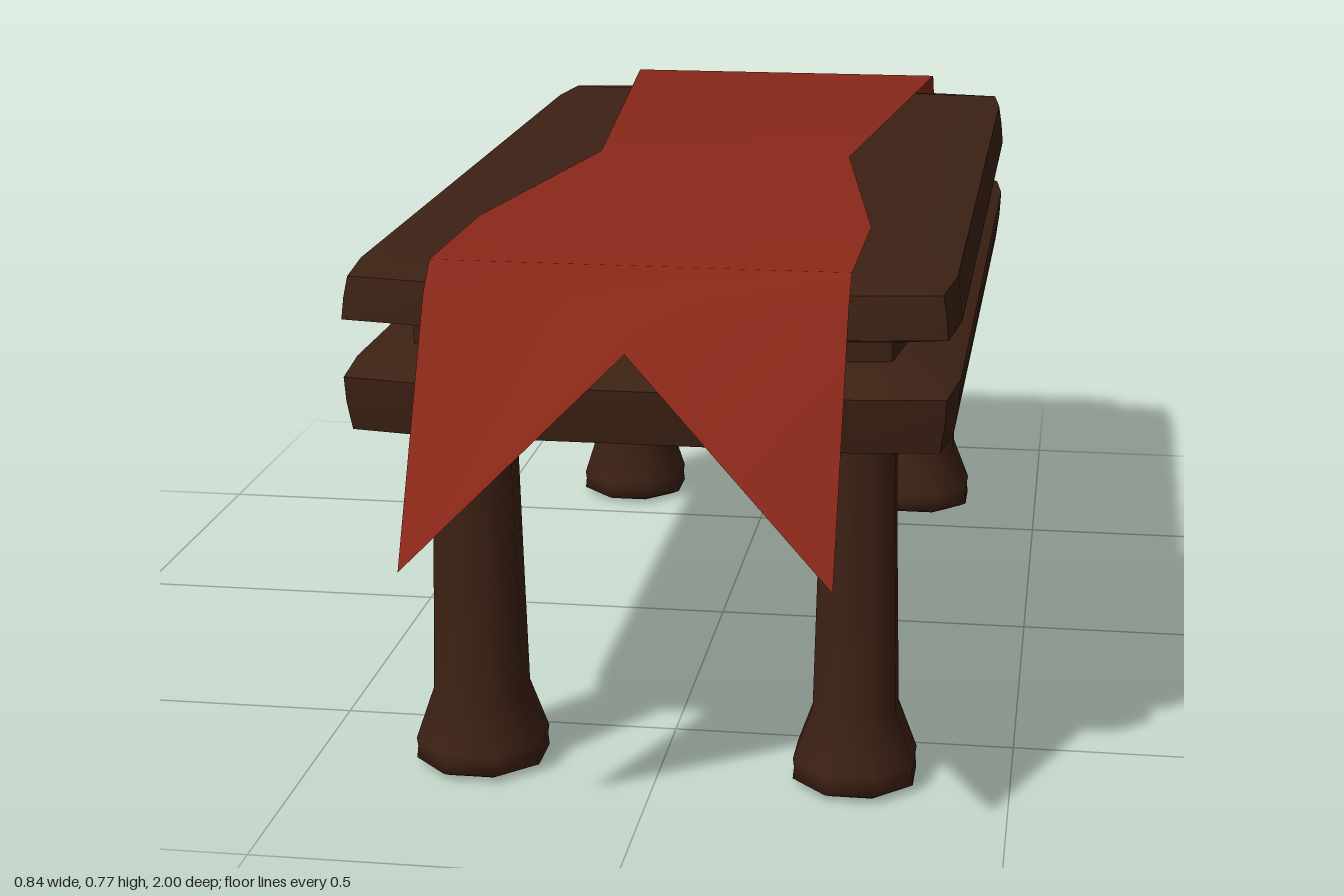
import * as THREE from 'three';
import { toCreasedNormals } from 'three/addons/utils/BufferGeometryUtils.js';

const wood = new THREE.MeshStandardMaterial({ color: 0x3d2114 });
const cloth = new THREE.MeshStandardMaterial({ color: 0x8a2819, side: THREE.DoubleSide });

// Builds an indexed surface from equal-length rows of points
function loft(rows, closed) {
  const n = rows[0].length, index = [];
  for (let r = 0; r < rows.length - 1; r++) {
    for (let i = 0; i < (closed ? n : n - 1); i++) {
      const a = r * n + i, b = r * n + (i + 1) % n;
      index.push(a, b, b + n, a, b + n, a + n);
    }
  }
  if (closed) {
    const last = (rows.length - 1) * n;
    for (let i = 1; i < n - 1; i++) index.push(0, i + 1, i, last, last + i, last + i + 1);
  }
  const geo = new THREE.BufferGeometry();
  geo.setAttribute('position', new THREE.Float32BufferAttribute(rows.flat(2), 3));
  geo.setIndex(index);
  geo.computeVertexNormals();
  return geo;
}

// Rounded-corner plank outline, inset by d, at height y; it sags toward the back +x corner
function ring(y, d) {
  const hx = 0.418 - d, hz = 0.828 - d;
  const quarter = [[hx, hz - 0.13], [hx - 0.012, hz - 0.018], [hx - 0.12, hz]];
  const flip = (sx, sz) => quarter.map(([x, z]) => [x * sx, z * sz]);
  const outline = [
    ...flip(1, -1).reverse(), ...flip(1, 1),
    ...flip(-1, 1).reverse(), ...flip(-1, -1),
  ];
  return outline.map(([x, z]) => {
    const sag = 0.045 * (0.5 - z / 1.65) * (0.5 + x / 0.84) * (0.755 - y) / 0.24;
    return [x, y - sag, z - 0.03];
  }).reverse();
}

export function createModel() {
  const group = new THREE.Group();
  const add = (name, geo, mat, x = 0, z = 0) => {
    const mesh = new THREE.Mesh(geo, mat);
    mesh.name = name;
    mesh.position.set(x, 0, z);
    group.add(mesh);
  };

  // Two thick planks and the narrower core between them
  const plank = (name, profile) =>
    add(name, toCreasedNormals(loft(profile.map(([y, d]) => ring(y, d)), true), 1.0), wood);
  plank('lowerPlank', [[0.513, 0.09], [0.53, 0.008], [0.57, 0.002], [0.605, 0], [0.635, 0.08]]);
  plank('core', [[0.61, 0.078], [0.69, 0.078]]);
  plank('upperPlank', [[0.66, 0.08], [0.685, 0], [0.715, 0.003], [0.743, 0.008], [0.755, 0.09]]);

  // Turned legs with flared feet: x, z, shaft radius, foot radius
  const legs = [
    ['frontRightLeg', -0.26, 0.64, 0.066, 0.097],
    ['frontLeftLeg', 0.28, 0.64, 0.06, 0.092],
    ['backRightLeg', -0.26, -0.645, 0.068, 0.097],
    ['backLeftLeg', 0.28, -0.645, 0.066, 0.1],
  ];
  for (const [name, x, z, r, f] of legs) {
    const pts = [[0, 0], [f * 0.85, 0.003], [f, 0.01], [f * 0.98, 0.028], [f, 0.04],
      [r * 1.06, 0.115], [r * 0.98, 0.3], [r * 0.92, 0.45]];
    // The back left leg meets the sagging plank with a wider collar
    if (name === 'backLeftLeg') pts.splice(7, 1, [r * 0.93, 0.435], [r * 1.35, 0.475]);
    pts.push([r * (name === 'backLeftLeg' ? 1.35 : 0.95), 0.54]);
    const geo = new THREE.LatheGeometry(pts.map(p => new THREE.Vector2(...p)), 8, Math.PI / 8);
    add(name, geo, wood, x, z);
  }

  // Runner rows: z, y, half width, then z and y of the middle point
  const rows = [
    [-1.0, 0.44, 0.28, -0.93, 0.635],
    [-0.9, 0.72, 0.28, -0.9, 0.72],
    [-0.85, 0.774, 0.28, -0.85, 0.774],
    [-0.02, 0.772, 0.2, -0.02, 0.772],
    [0.5, 0.772, 0.28, 0.5, 0.772],
    [0.79, 0.774, 0.28, 0.79, 0.774],
    [0.83, 0.735, 0.28, 0.83, 0.735],
    [1.0, 0.41, 0.28, 0.9, 0.683],
  ].map(([z, y, w, mz, my]) => [[w, y, z], [0, my, mz], [-w, y, z]]);
  add('tableRunner', loft(rows, false), cloth);

  return group;
}
